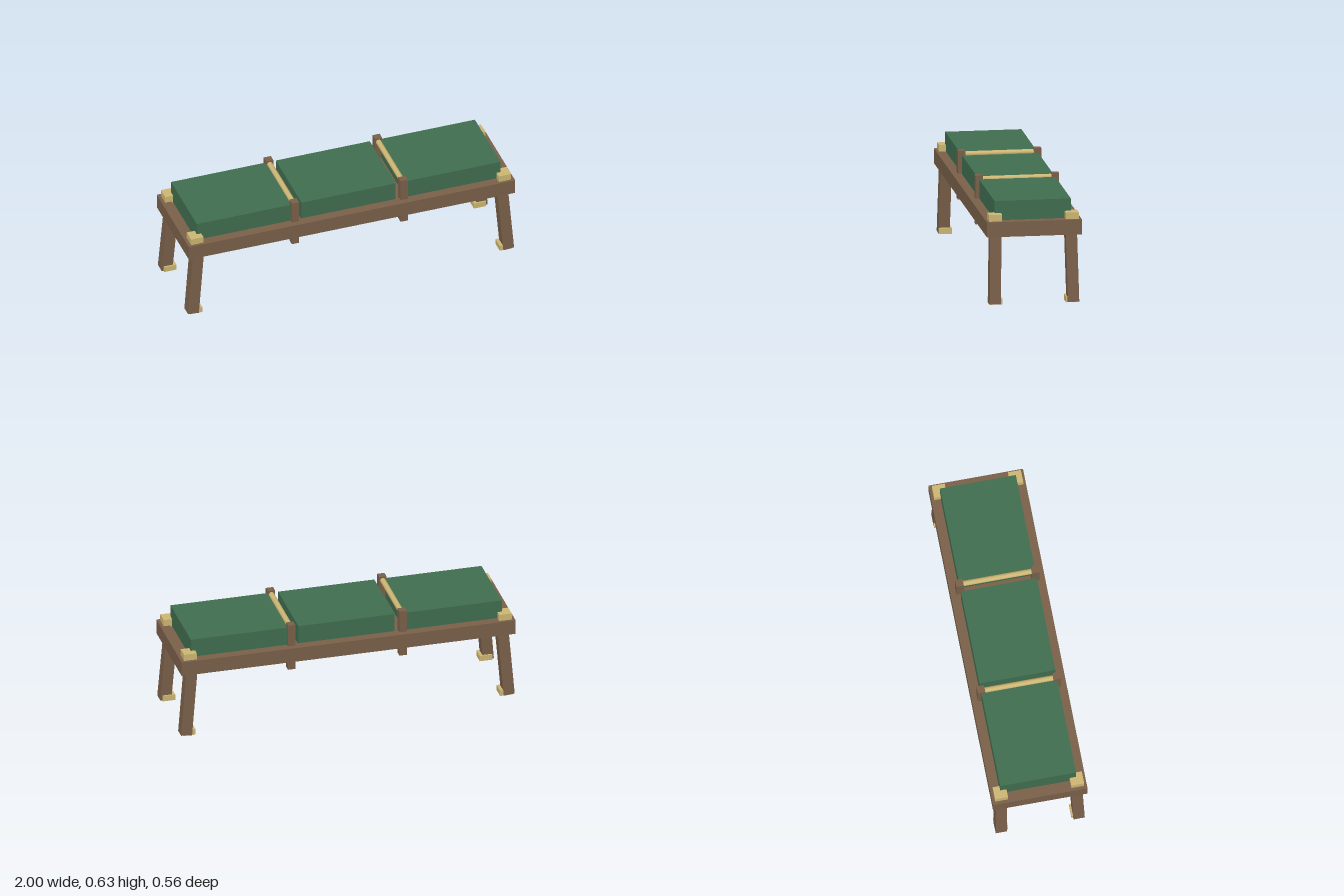
import * as THREE from 'three';

const mat = (name, color) => {
  const m = new THREE.MeshStandardMaterial({ color });
  m.name = name;
  return m;
};

export function createModel() {
  const wood = mat('brown wood', 0x7a604a);
  const fabric = mat('green fabric', 0x406e4f);
  const brass = mat('pale brass', 0xcdb774);
  const bench = new THREE.Group();
  bench.name = 'bench';

  // Box given by its minimum and maximum on each axis
  const box = (name, material, [x0, x1], [y0, y1], [z0, z1]) => {
    const mesh = new THREE.Mesh(new THREE.BoxGeometry(x1 - x0, y1 - y0, z1 - z0), material);
    mesh.position.set((x0 + x1) / 2, (y0 + y1) / 2, (z0 + z1) / 2);
    mesh.name = name;
    bench.add(mesh);
    return mesh;
  };
  // Range around a centre
  const around = (c, size) => [c - size / 2, c + size / 2];

  // Open frame of four rails
  const railY = [0.405, 0.493];
  for (const s of [-1, 1]) {
    box('sideRail', wood, [-1, 1], railY, around(s * 0.25, 0.056));
    box('endRail', wood, around(s * 0.972, 0.056), railY, [-0.222, 0.222]);
  }

  // Recessed panel under the cushions
  box('seatPanel', wood, [-0.944, 0.944], [0.458, 0.485], [-0.222, 0.222]);

  // Three cushions
  for (const x of [[-0.932, -0.352], [-0.29, 0.286], [0.35, 0.93]]) {
    box('cushion', fabric, x, [0.485, 0.604], [-0.223, 0.223]);
  }

  // Divider posts through the side rails, joined by rods
  for (const x of [-0.335, 0.332]) {
    for (const s of [-1, 1]) {
      box('dividerPost', wood, around(x, 0.044), [0.34, 0.627], around(s * 0.2225, 0.044));
    }
    const rod = new THREE.Mesh(new THREE.CylinderGeometry(0.0165, 0.0165, 0.42, 12), brass);
    rod.rotation.x = Math.PI / 2;
    rod.position.set(x, 0.603, 0);
    rod.name = 'dividerRod';
    bench.add(rod);
  }

  // Splayed legs with corner blocks above and foot blocks below
  const up = new THREE.Vector3(0, 1, 0);
  for (const sx of [-1, 1]) {
    for (const sz of [-1, 1]) {
      const foot = new THREE.Vector3(sx * 0.966, 0.004, sz * 0.229);
      const top = new THREE.Vector3(sx * 0.928, 0.458, sz * 0.22);
      const leg = new THREE.Mesh(new THREE.BoxGeometry(0.066, foot.distanceTo(top), 0.066), wood);
      leg.position.copy(foot).lerp(top, 0.5);
      leg.quaternion.setFromUnitVectors(up, top.sub(foot).normalize());
      leg.name = 'leg';
      bench.add(leg);

      box('cornerBlock', brass, around(sx * 0.943, 0.076), [0.485, 0.532], around(sz * 0.224, 0.076));
      box('footBlock', brass, around(sx * 0.949, 0.075), [0.003, 0.037], around(sz * 0.2235, 0.075));
    }
  }
  return bench;
}
